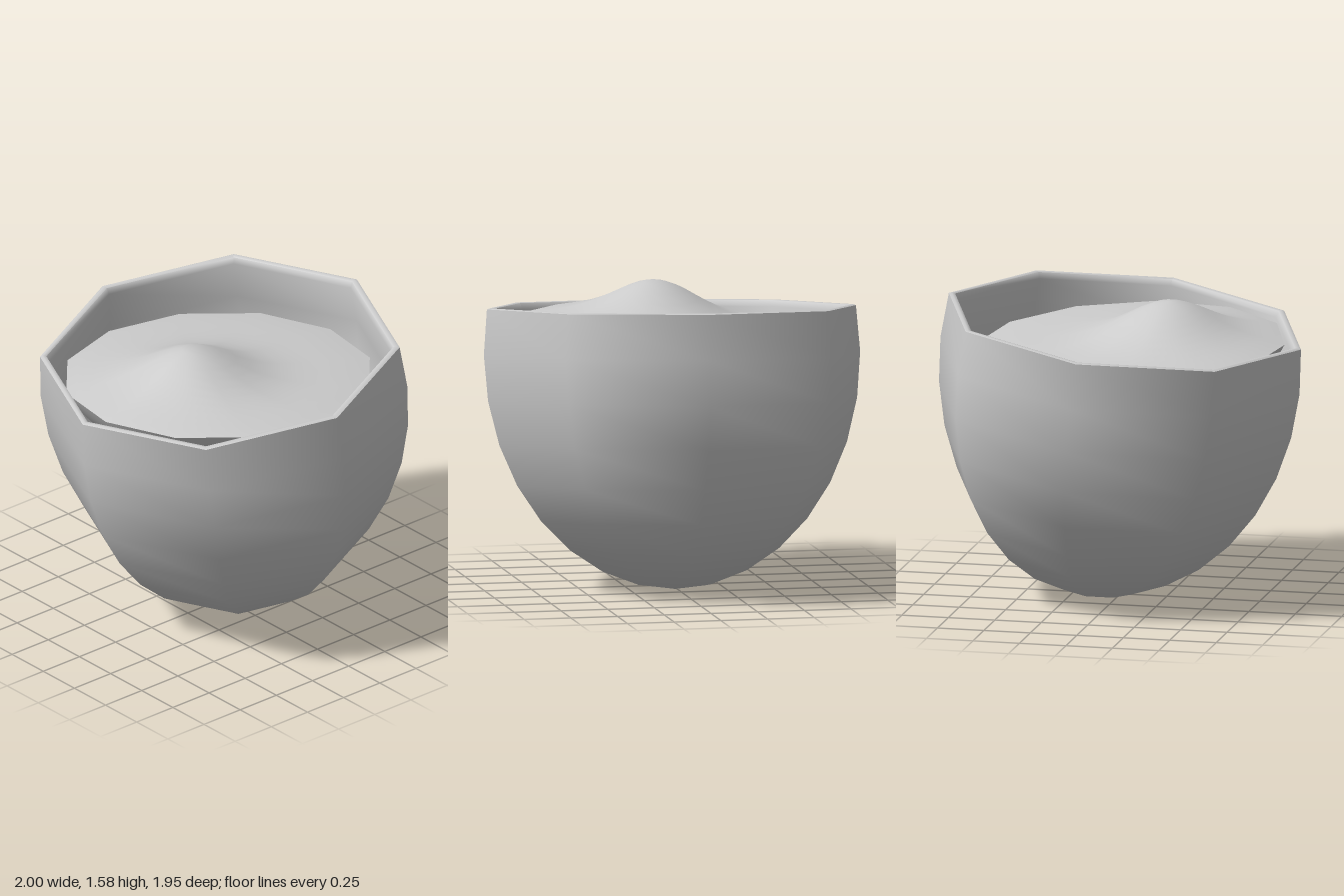
import * as THREE from 'three';
import { mergeVertices, toCreasedNormals } from 'three/addons/utils/BufferGeometryUtils.js';

const material = new THREE.MeshStandardMaterial({ color: 0xcccccc, side: THREE.DoubleSide });

// Eight-sided cup: part of a stretched sphere, doubled into a thin wall
function bowlGeometry() {
  const H = 1.235, step = Math.PI / 16, points = [];
  const ring = (i, r, h, y0) =>
    new THREE.Vector2(i ? r * Math.sin(i * step) : 0, y0 + h * (1 - Math.cos(i * step)));
  for (let i = 0; i <= 9; i++) points.push(ring(i, 1, H, 0));
  const rim = points[9];
  // rounded lip
  points.push(new THREE.Vector2(rim.x - 0.015, rim.y + 0.006));
  points.push(new THREE.Vector2(rim.x - 0.035, rim.y + 0.002));
  for (let i = 9; i >= 0; i--) {
    const p = ring(i, 0.95, H - 0.05, 0.05);
    if (i === 9) p.y = rim.y - 0.03;
    points.push(p);
  }
  const geo = new THREE.LatheGeometry(points, 8);
  // lean backwards with a slight skew
  geo.applyMatrix4(new THREE.Matrix4().makeBasis(
    new THREE.Vector3(1, 0.015, 0.035),
    new THREE.Vector3(-0.01, 0.994, 0.112),
    new THREE.Vector3(0, -0.105, 0.966)
  ).setPosition(0.01, 0, -0.14));
  return toCreasedNormals(geo, 1.0);
}

// Twelve-sided filling: flat body whose top swells into an off-centre mound
function fillingGeometry() {
  const R = 0.82, peak = { x: 0.03, z: 0.25 }, mid = { x: 0.01, z: 0.05 };
  const points = [[0, -0.3], [0.4, -0.27], [0.65, -0.18], [0.77, -0.07], [R, 0]]
    .map(([x, y]) => new THREE.Vector2(x, y));
  for (let i = 11; i >= 0; i--) points.push(new THREE.Vector2(R * i / 12, 0));
  let geo = new THREE.LatheGeometry(points, 12, 0.06);
  const pos = geo.attributes.position;
  for (let i = 0; i < pos.count; i++) {
    const t = Math.hypot(pos.getX(i), pos.getZ(i)) / R;
    const depth = pos.getY(i);
    const x = pos.getX(i) + THREE.MathUtils.lerp(peak.x, mid.x, t);
    const z = pos.getZ(i) + THREE.MathUtils.lerp(peak.z, mid.z, t);
    let y = 1.34 + 0.06 * x + 0.03 * z + depth;
    if (depth === 0) {
      const d2 = (x - peak.x) ** 2 + (z - peak.z) ** 2;
      y += 0.04 * (1 - t ** 4) + 0.19 * Math.exp(-d2 / 0.1) * (1 - t ** 8);
    }
    pos.setXYZ(i, x, y, z);
  }
  geo.deleteAttribute('uv');
  geo.deleteAttribute('normal');
  geo = mergeVertices(geo, 1e-4);
  return toCreasedNormals(geo, 0.85);
}

export function createModel() {
  const model = new THREE.Group();
  model.name = 'filledBowl';
  const add = (name, geometry) => {
    const mesh = new THREE.Mesh(geometry, material);
    mesh.name = name;
    model.add(mesh);
  };
  add('bowl', bowlGeometry());
  add('filling', fillingGeometry());
  return model;
}
